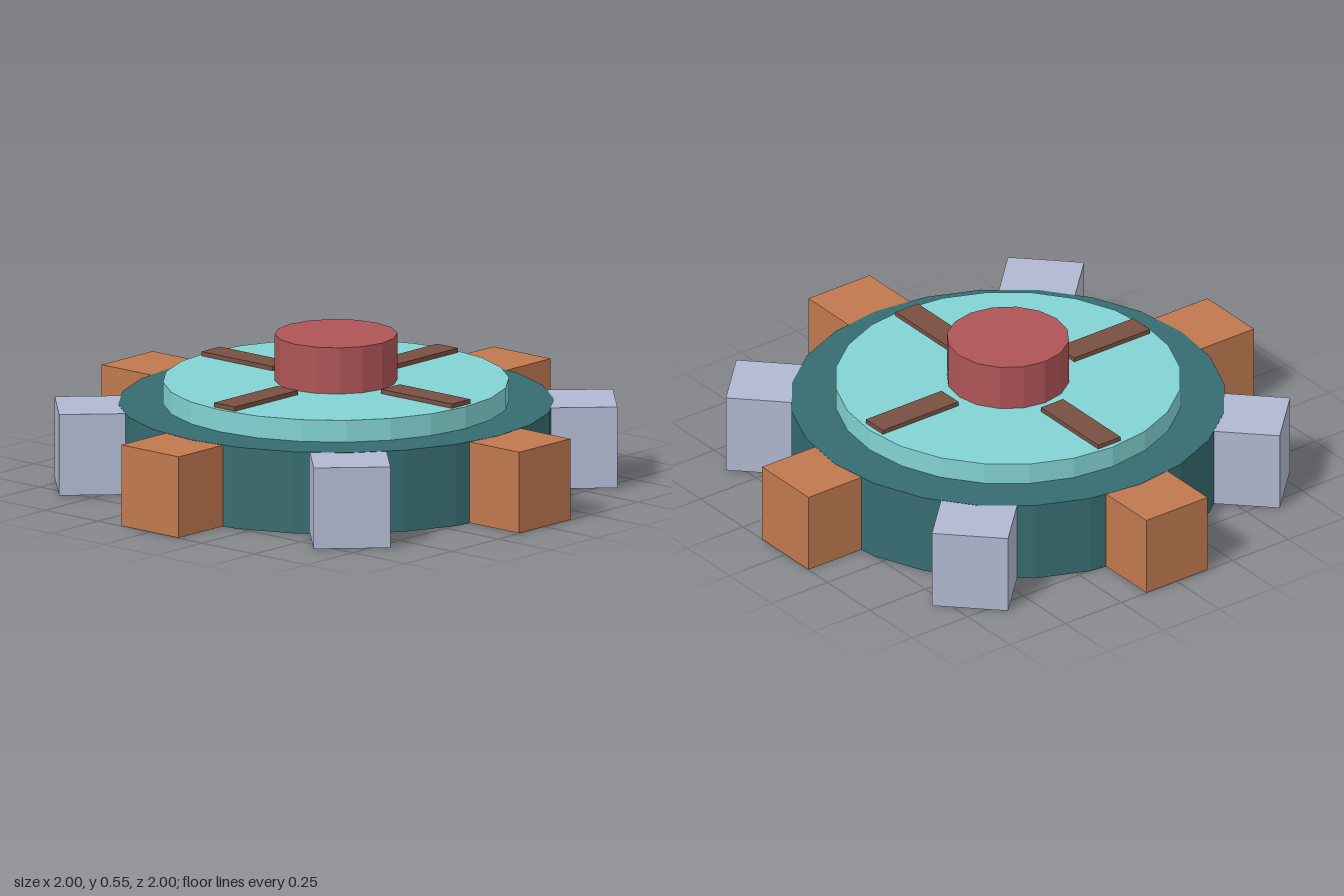
import * as THREE from 'three';

const mat = (name, color) => {
  const m = new THREE.MeshStandardMaterial({ color });
  m.name = name;
  m.flatShading = true;
  return m;
};

export function createModel() {
  const group = new THREE.Group();
  const darkTeal = mat('darkTeal', 0x366c70);
  const lightTeal = mat('lightTeal', 0x82d2d2);
  const copper = mat('copper', 0xc0784e);
  const steel = mat('steel', 0xb0b8d0);
  const red = mat('red', 0xae5456);
  const brown = mat('brown', 0x794f43);

  // Upright cylinder from height y0 to y1
  const disc = (name, radius, y0, y1, sides, material) => {
    const mesh = new THREE.Mesh(new THREE.CylinderGeometry(radius, radius, y1 - y0, sides), material);
    mesh.position.y = (y0 + y1) / 2;
    mesh.name = name;
    group.add(mesh);
  };

  // Box reaching from radius r0 to r1, turned around the axle
  const radialBox = (name, r0, r1, y0, y1, width, angle, material) => {
    const geometry = new THREE.BoxGeometry(r1 - r0, y1 - y0, width);
    geometry.translate((r0 + r1) / 2, (y0 + y1) / 2, 0);
    const mesh = new THREE.Mesh(geometry, material);
    mesh.rotation.y = angle;
    mesh.name = name;
    group.add(mesh);
  };

  // Stacked body, face plate and hub
  disc('gearBody', 0.78, 0, 0.3, 24, darkTeal);
  disc('facePlate', 0.62, 0.3, 0.38, 24, lightTeal);
  disc('hub', 0.22, 0.38, 0.55, 16, red);

  // Eight teeth in alternating colours, a hair inside the body faces where they overlap
  for (let i = 0; i < 8; i++) {
    radialBox('tooth', 0.72, 1, 0.001, 0.299, 0.275, i * Math.PI / 4, i % 2 ? steel : copper);
  }

  // Four raised bars on the face plate
  for (let i = 0; i < 4; i++) {
    radialBox('spokeBar', 0.26, 0.6, 0.375, 0.396, 0.1, i * Math.PI / 2, brown);
  }
  return group;
}
